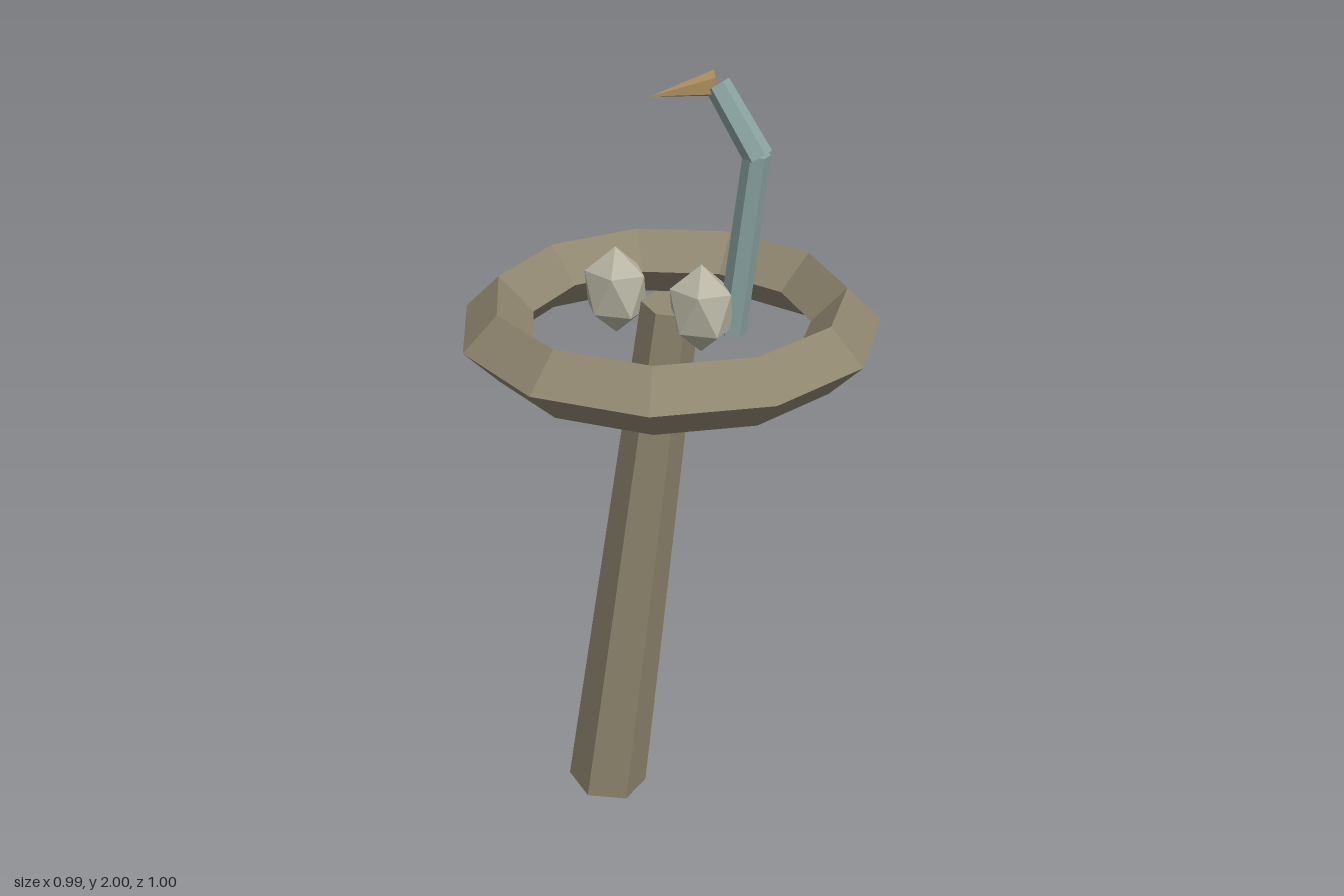
import * as THREE from 'three';

const flat = (name, color) => {
  const m = new THREE.MeshStandardMaterial({ color });
  m.name = name;
  m.flatShading = true;
  return m;
};

export function createModel() {
  const group = new THREE.Group();
  const wood = flat('wood', 0x8f866f);
  const shell = flat('eggshell', 0xb8b5a4);
  const feather = flat('feather', 0x8aa3a1);
  const horn = flat('beak', 0xb0905f);

  const add = (name, geometry, material) => {
    const mesh = new THREE.Mesh(geometry, material);
    mesh.name = name;
    group.add(mesh);
    return mesh;
  };

  // Tapered prism running from point a to point b
  const limb = (name, a, b, ra, rb, sides, material) => {
    const from = new THREE.Vector3(...a), to = new THREE.Vector3(...b);
    const dir = to.clone().sub(from);
    const mesh = add(name, new THREE.CylinderGeometry(rb, ra, dir.length(), sides), material);
    mesh.position.copy(from).lerp(to, 0.5);
    mesh.quaternion.setFromUnitVectors(new THREE.Vector3(0, 1, 0), dir.normalize());
    return mesh;
  };

  // Leaning post
  limb('post', [-0.207, 0.012, 0], [-0.01, 1.44, 0], 0.103, 0.07, 6, wood);

  // Nest ring with a diamond cross-section
  const ring = add('nestRing', new THREE.TorusGeometry(0.421, 0.084, 4, 11), wood);
  ring.rotation.x = Math.PI / 2;
  ring.position.set(-0.012, 1.387, 0);

  // Faceted eggs, one corner pointing up
  for (const x of [-0.16, 0.073]) {
    const egg = add('egg', new THREE.IcosahedronGeometry(1).rotateZ(-0.5536), shell);
    egg.scale.set(0.088, 0.11, 0.072);
    egg.position.set(x, 1.446, 0);
  }

  // Bent neck and pointed beak
  limb('neck', [0.127, 1.38, -0.053], [0.185, 1.828, -0.053], 0.035, 0.032, 6, feather);
  limb('upperNeck', [0.19, 1.818, -0.053], [0.082, 1.972, -0.053], 0.034, 0.03, 6, feather);
  limb('beak', [0.078, 1.973, -0.056], [-0.052, 1.944, 0.022], 0.032, 0, 5, horn);

  return group;
}
